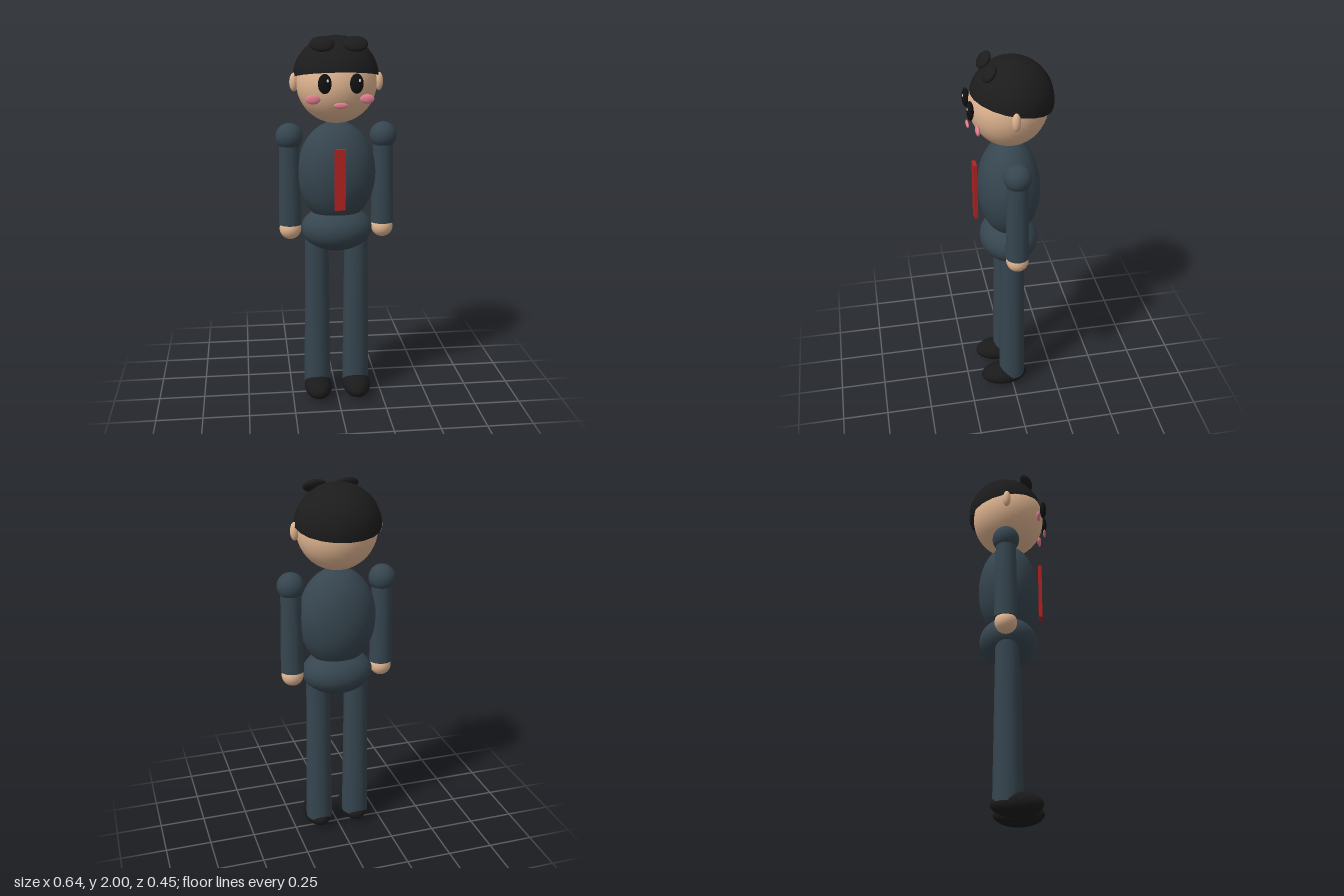
import * as THREE from 'three';

const material = (name, color) => {
  const m = new THREE.MeshStandardMaterial({ color });
  m.name = name;
  return m;
};

export function createModel() {
  const model = new THREE.Group();
  model.name = 'suitedFigure';

  const suit = material('charcoal suit', 0x36454f);
  const skin = material('skin', 0xe0b591);
  const hair = material('black hair', 0x1c1c1c);
  const eyeBlack = material('eye black', 0x111111);
  const white = material('eye highlight', 0xffffff);
  const pink = material('blush pink', 0xe57f8f);
  const red = material('tie red', 0xb22222);
  const shoe = material('shoe black', 0x1a1a1a);
  hair.side = THREE.DoubleSide;

  const add = (name, geometry, mat, x, y, z) => {
    const mesh = new THREE.Mesh(geometry, mat);
    mesh.name = name;
    mesh.position.set(x, y, z);
    model.add(mesh);
    return mesh;
  };
  const ellipsoid = (name, mat, [x, y, z], [rx, ry, rz], seg = 28) =>
    add(name, new THREE.SphereGeometry(1, seg, Math.round(seg * 0.7)).scale(rx, ry, rz), mat, x, y, z);

  // Torso, hips and tie
  ellipsoid('torso', suit, [0, 1.285, 0], [0.21, 0.275, 0.165], 32);
  ellipsoid('hips', suit, [0, 0.977, 0], [0.193, 0.123, 0.156], 32);
  add('tie', new THREE.BoxGeometry(0.056, 0.32, 0.02), red, 0, 1.28, 0.178);

  // Head and tilted cap of hair
  ellipsoid('head', skin, [0, 1.76, 0], [0.21, 0.21, 0.2], 32);
  const cap = new THREE.SphereGeometry(1, 20, 12, 0, Math.PI * 2, 0, Math.PI / 2);
  add('hairCap', cap.scale(0.225, 0.213, 0.212), hair, 0, 1.787, -0.015).rotation.x = -0.2;
  ellipsoid('mouth', pink, [0, 1.667, 0.208], [0.037, 0.015, 0.008], 18);

  for (const side of [-1, 1]) {
    const label = side > 0 ? 'left' : 'right';

    // Face and hair details
    ellipsoid(label + 'HairTuft', hair, [side * 0.085, 1.963, 0.108], [0.064, 0.022, 0.047], 20).rotation.x = 0.82;
    ellipsoid(label + 'Ear', skin, [side * 0.222, 1.764, 0.003], [0.023, 0.048, 0.022], 18);
    ellipsoid(label + 'Eye', eyeBlack, [side * 0.08, 1.775, 0.203], [0.034, 0.05, 0.018], 20);
    ellipsoid(label + 'EyeHighlight', white, [side * 0.08 + 0.012, 1.79, 0.214], [0.008, 0.01, 0.007], 10);
    ellipsoid(label + 'Cheek', pink, [side * 0.137, 1.695, 0.177], [0.037, 0.024, 0.011], 18);

    // Arm
    ellipsoid(label + 'Shoulder', suit, [side * 0.25, 1.48, 0], [0.072, 0.072, 0.072]);
    add(label + 'Arm', new THREE.CylinderGeometry(0.053, 0.062, 0.475, 24), suit, side * 0.25, 1.2425, 0);
    ellipsoid(label + 'Hand', skin, [side * 0.25, 0.98, 0], [0.059, 0.059, 0.059], 24);

    // Leg
    add(label + 'Leg', new THREE.CylinderGeometry(0.064, 0.074, 0.89, 24), suit, side * 0.108, 0.515, 0);
    ellipsoid(label + 'Shoe', shoe, [side * 0.108, 0.065, 0.047], [0.077, 0.062, 0.133], 24);
  }

  return model;
}
